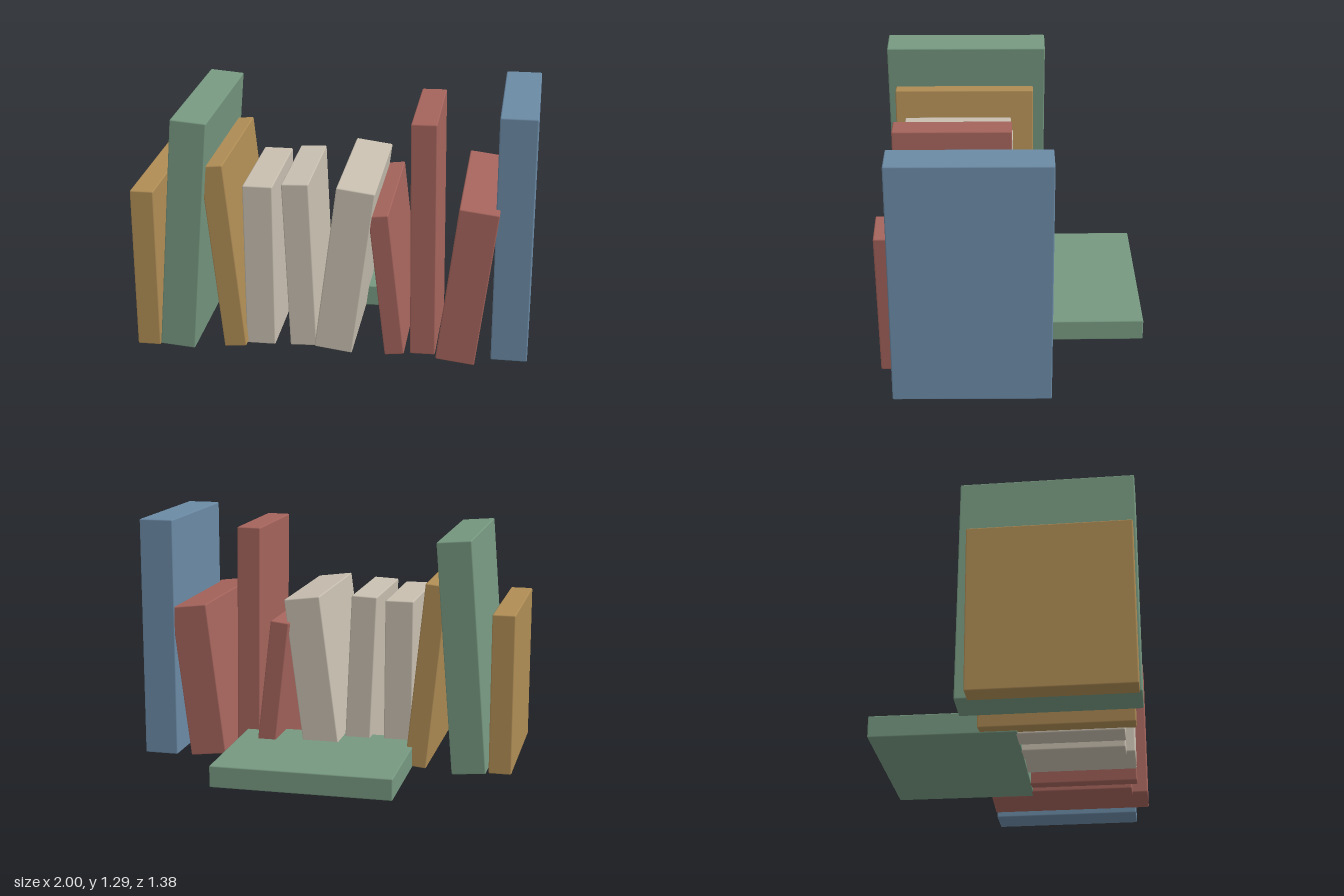
import * as THREE from 'three';
import { RoundedBoxGeometry } from 'three/addons/geometries/RoundedBoxGeometry.js';

const COLORS = {
  tan: 0xb08d55, green: 0x769880, cream: 0xc8bfb0, red: 0xa5645c, blue: 0x6b8aa5,
};

export function createModel() {
  const model = new THREE.Group();
  const materials = {};
  for (const key in COLORS) materials[key] = new THREE.MeshStandardMaterial({ color: COLORS[key] });

  // One book: a block with finely softened edges
  function addBook(name, color, width, height, depth) {
    const book = new THREE.Mesh(new RoundedBoxGeometry(width, height, depth, 1, 0.007), materials[color]);
    book.name = name;
    model.add(book);
    return book;
  }

  // Standing row, from -x to +x: color, centre x, width, height, back z, front z, lean
  const row = [
    ['tan', -0.94, 0.12, 0.85, -0.125, 0.675, 0],
    ['green', -0.735, 0.181, 1.226, -0.19, 0.687, -0.082],
    ['tan', -0.54, 0.115, 0.99, -0.125, 0.645, 0.1],
    ['cream', -0.37, 0.152, 0.873, 0, 0.587, 0.003],
    ['cream', -0.165, 0.138, 0.889, -0.01, 0.58, 0.042],
    ['cream', 0.071, 0.195, 0.885, -0.13, 0.625, -0.13],
    ['red', 0.284, 0.1, 0.762, -0.165, 0.62, 0.117],
    ['red', 0.462, 0.128, 1.236, 0, 0.587, 0.012],
    ['red', 0.689, 0.198, 0.825, -0.19, 0.67, -0.121],
    ['blue', 0.908, 0.184, 1.29, -0.195, 0.595, 0],
  ];
  row.forEach(([color, x, width, height, back, front, lean], i) => {
    const book = addBook(`standingBook${i + 1}`, color, width, height, front - back);
    // Lift so that the lowest corner of the leaning book touches the ground
    const y = (height * Math.cos(lean) + width * Math.abs(Math.sin(lean))) / 2;
    book.position.set(x, y, (back + front) / 2);
    book.rotation.z = lean;
  });

  // Book lying flat behind the row
  const flat = addBook('lyingBook', 'green', 0.948, 0.115, 0.743);
  flat.position.set(-0.002, 0.0575, -0.314);
  flat.rotation.y = 0.012;

  return model;
}
